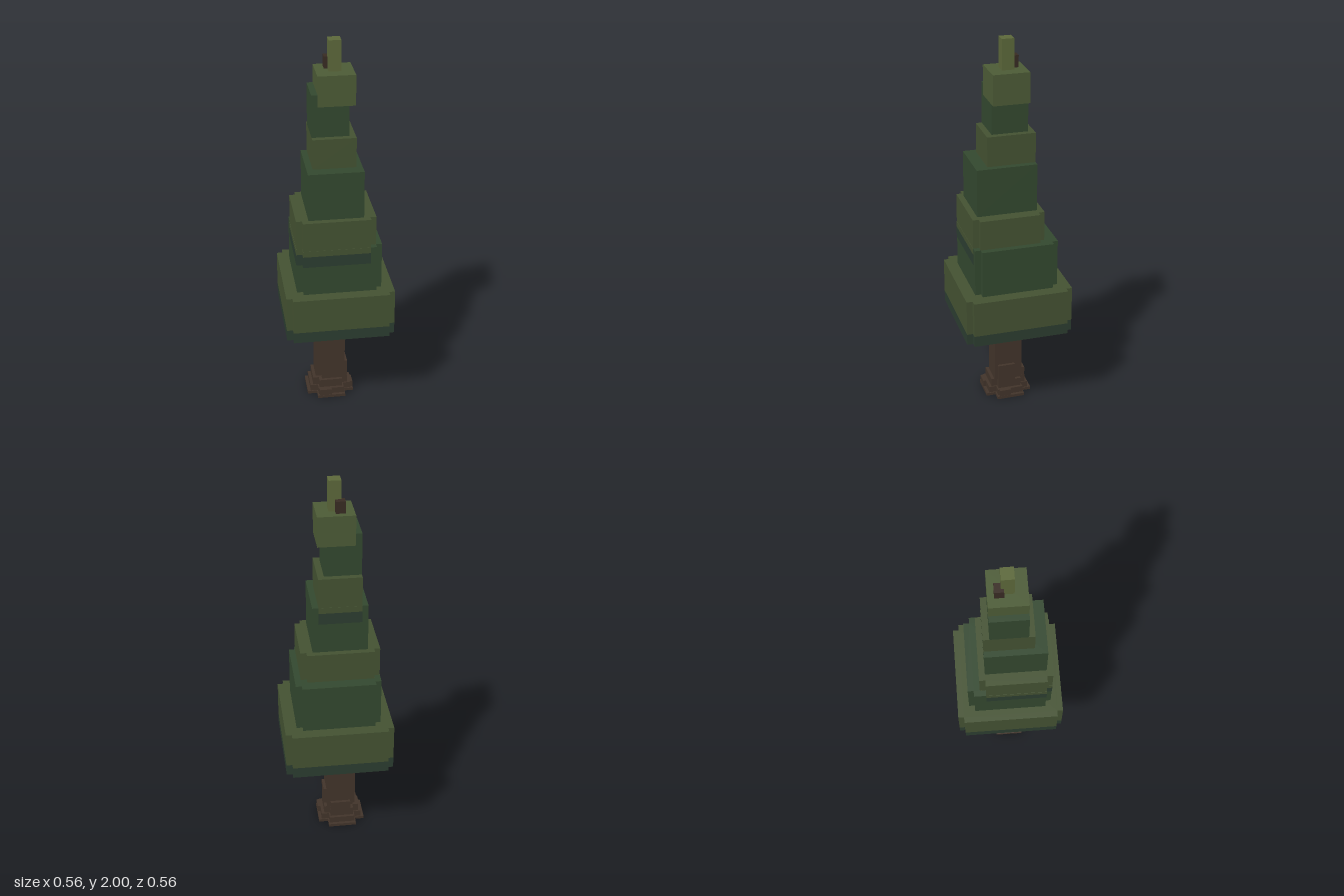
import * as THREE from 'three';

const COLORS = {
  light: 0x445232, dark: 0x33482f, band: 0x2c3d30,
  crown: 0x4c5b36, tip: 0x5c683a, bark: 0x42342a, barkDark: 0x382b23,
};
const materials = {};
for (const key in COLORS) {
  materials[key] = new THREE.MeshStandardMaterial({ color: COLORS[key], flatShading: true });
}

// Upright block between two corners, with optional square notches cut from its vertical edges
function block(name, color, [x0, x1], [y0, y1], [z0, z1], notch = 0) {
  let geometry;
  if (notch) {
    const n = notch, a = -z1, b = -z0;
    const outline = [
      [x0 + n, a], [x1 - n, a], [x1 - n, a + n], [x1, a + n], [x1, b - n], [x1 - n, b - n],
      [x1 - n, b], [x0 + n, b], [x0 + n, b - n], [x0, b - n], [x0, a + n], [x0 + n, a + n],
    ].map(([x, y]) => new THREE.Vector2(x, y));
    geometry = new THREE.ExtrudeGeometry(new THREE.Shape(outline), { depth: y1 - y0, bevelEnabled: false });
    geometry.rotateX(-Math.PI / 2);
    geometry.translate(0, y0, 0);
  } else {
    geometry = new THREE.BoxGeometry(x1 - x0, y1 - y0, z1 - z0);
    geometry.translate((x0 + x1) / 2, (y0 + y1) / 2, (z0 + z1) / 2);
  }
  const mesh = new THREE.Mesh(geometry, materials[color]);
  mesh.name = name;
  return mesh;
}

export function createModel() {
  const tree = new THREE.Group();
  tree.name = 'blockyConifer';

  // Trunk, stepping outward towards the roots
  const trunk = new THREE.Group();
  trunk.name = 'trunk';
  trunk.add(
    block('trunkCore', 'bark', [-0.094, 0.047], [0.095, 0.472], [-0.078, 0.0625], 0.016),
    block('trunkFront', 'bark', [-0.078, 0.047], [0.095, 0.406], [0, 0.078]),
    block('trunkRightSide', 'bark', [-0.109, -0.05], [0.095, 0.345], [-0.047, 0.047]),
    block('trunkLeftSide', 'bark', [0, 0.0625], [0.095, 0.19], [-0.03, 0.0625]),
    block('trunkBack', 'bark', [-0.078, 0.03], [0.095, 0.14], [-0.094, 0]),
    block('trunkFlare', 'bark', [-0.125, 0.0625], [0.05, 0.095], [-0.094, 0.094], 0.031),
    block('rootCollar', 'bark', [-0.14, 0.078], [0.015, 0.05], [-0.109, 0.109], 0.04),
    block('rootBase', 'bark', [-0.156, 0.094], [0, 0.0155], [-0.125, 0.125], 0.05),
    block('frontRoot', 'bark', [-0.094, -0.03], [0.0155, 0.05], [0.09, 0.124]),
    block('leftRoot', 'bark', [0.05, 0.093], [0.0155, 0.05], [0, 0.0625]),
  );
  tree.add(trunk);

  // Foliage tiers, from the skirt to the tip
  const foliage = new THREE.Group();
  foliage.name = 'foliage';
  foliage.add(
    block('skirtShadow', 'band', [-0.281, 0.281], [0.472, 0.531], [-0.281, 0.281], 0.031),
    block('skirt', 'light', [-0.281, 0.281], [0.531, 0.719], [-0.281, 0.281], 0.031),
    block('lowerTier', 'dark', [-0.219, 0.219], [0.719, 0.969], [-0.219, 0.219], 0.031),
    block('lowerMiddleTier', 'light', [-0.219, 0.1875], [0.969, 1.125], [-0.156, 0.219], 0.031),
    block('middleTier', 'dark', [-0.156, 0.125], [1.125, 1.375], [-0.125, 0.1875]),
    block('upperMiddleTier', 'light', [-0.125, 0.094], [1.375, 1.531], [-0.125, 0.125]),
    block('upperTier', 'dark', [-0.125, 0.0625], [1.531, 1.6875], [-0.094, 0.094]),
    block('upperTierLedge', 'dark', [-0.125, -0.094], [1.6875, 1.75], [-0.094, 0.094]),
    block('crown', 'crown', [-0.094, 0.094], [1.6875, 1.844], [-0.094, 0.094]),
    block('tip', 'tip', [-0.031, 0.031], [1.844, 2], [-0.031, 0.031]),
  );
  // Overhanging lips and their shadow bands, where neighbouring tiers are flush
  for (const [part, color, low, high] of [['Lip', 'light', 0.9375, 0.969], ['Shadow', 'band', 0.878, 0.9375]]) {
    foliage.add(
      block('lower' + part, color, [-0.2205, 0.1875], [low, high], [-0.156, 0.2205], 0.031),
      block('upper' + part, color, [-0.125, 0.094], [low + 0.406, high + 0.406], [-0.1265, 0.1]),
    );
  }
  tree.add(foliage);

  // Bare twig beside the tip
  const twig = new THREE.Group();
  twig.name = 'twig';
  twig.add(
    block('twigMain', 'barkDark', [-0.048, -0.017], [1.844, 1.905], [-0.0625, -0.017]),
    block('twigSide', 'barkDark', [-0.017, 0], [1.844, 1.905], [-0.0625, -0.031]),
  );
  tree.add(twig);

  return tree;
}
